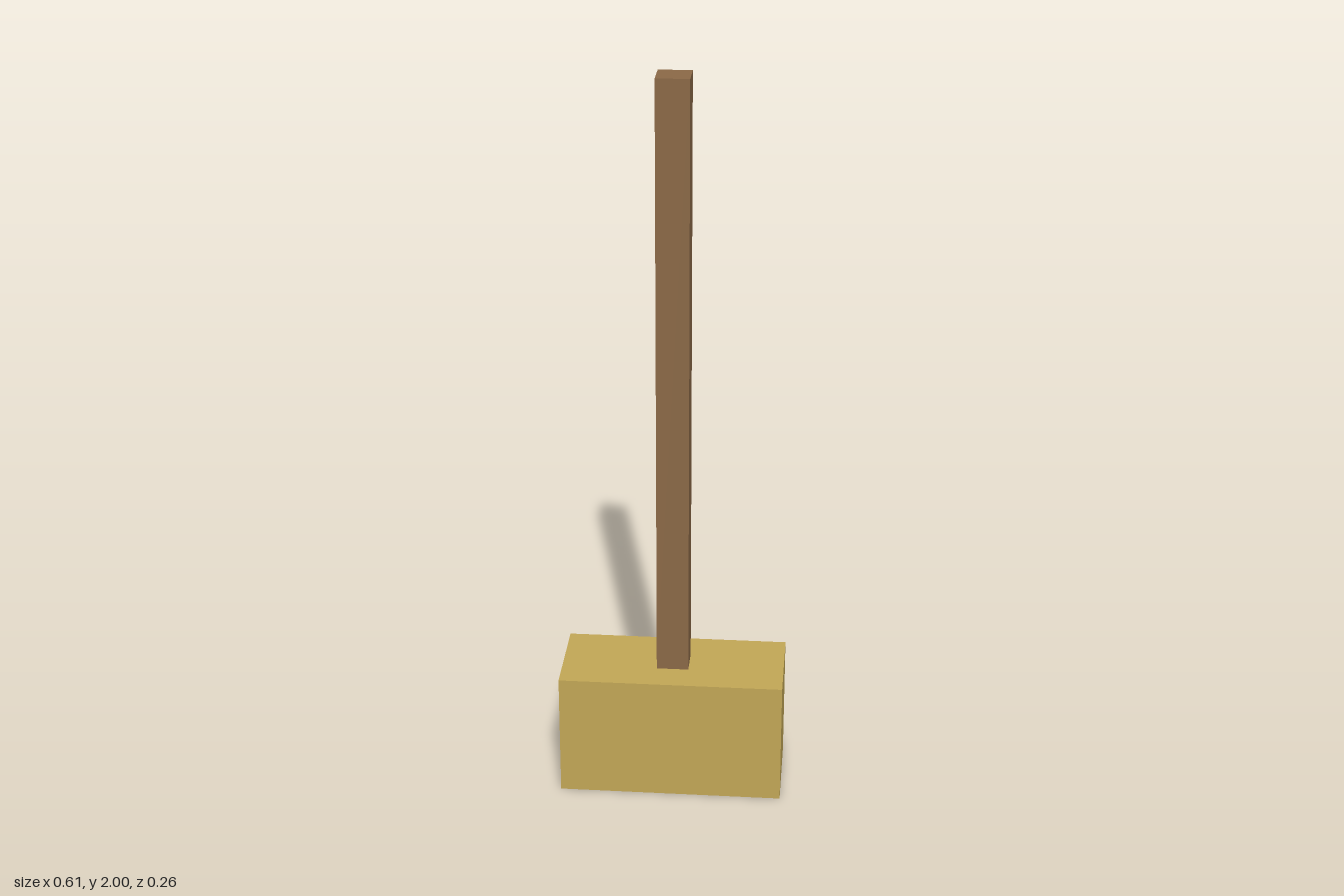
import * as THREE from 'three';

const straw = new THREE.MeshStandardMaterial({ color: 0xc2a756 });
straw.name = 'golden head';
const wood = new THREE.MeshStandardMaterial({ color: 0x8b6947 });
wood.name = 'brown wood';

// Box standing on a given height
function block(name, width, height, depth, bottom, material) {
  const mesh = new THREE.Mesh(new THREE.BoxGeometry(width, height, depth), material);
  mesh.name = name;
  mesh.position.y = bottom + height / 2;
  return mesh;
}

export function createModel() {
  const model = new THREE.Group();
  model.name = 'mallet';
  const headHeight = 0.348;

  // Heavy head resting on the ground
  model.add(block('head', 0.609, headHeight, 0.261, 0, straw));

  // Square handle rising from the head
  model.add(block('handle', 0.087, 2 - headHeight, 0.087, headHeight, wood));

  return model;
}
